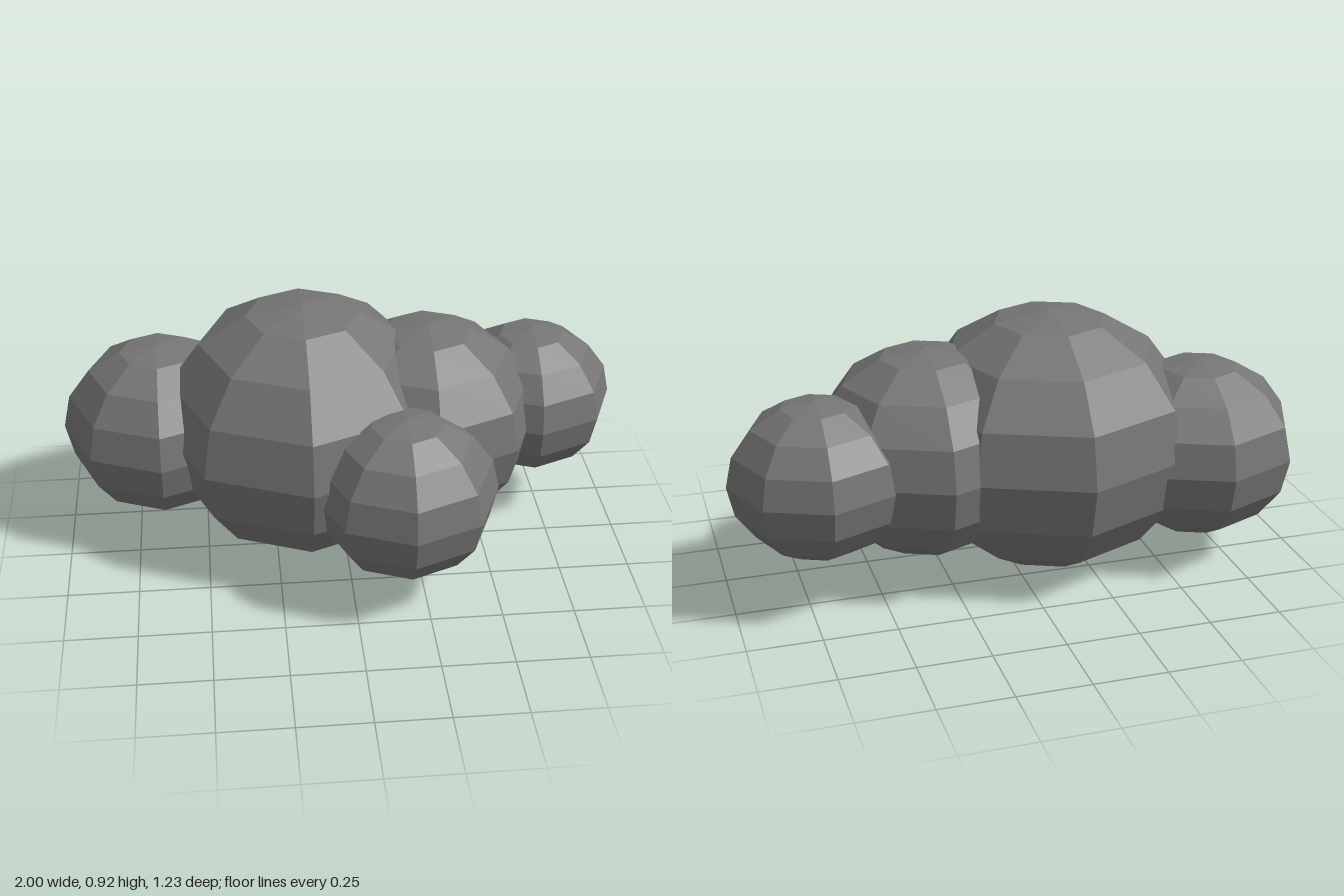
import * as THREE from 'three';

// Cloud of overlapping low-poly puffs, each slightly flattened vertically
export function createModel() {
  const group = new THREE.Group();
  group.name = 'cloud';

  const material = new THREE.MeshStandardMaterial({ color: 0x757575, flatShading: true });
  const geometry = new THREE.SphereGeometry(1, 8, 8);
  const flatten = 0.9;

  // name, radius, centre
  const puffs = [
    ['mainPuff', 0.512, [-0.14, 0.461, -0.105]],
    ['rightPuff', 0.351, [-0.649, 0.413, -0.22]],
    ['innerLeftPuff', 0.405, [0.30, 0.462, -0.105]],
    ['outerLeftPuff', 0.302, [0.698, 0.455, -0.227]],
    ['frontPuff', 0.321, [0.18, 0.395, 0.295]],
  ];

  for (const [name, radius, centre] of puffs) {
    const puff = new THREE.Mesh(geometry, material);
    puff.name = name;
    puff.position.set(...centre);
    puff.scale.set(radius, radius * flatten, radius);
    group.add(puff);
  }

  return group;
}
